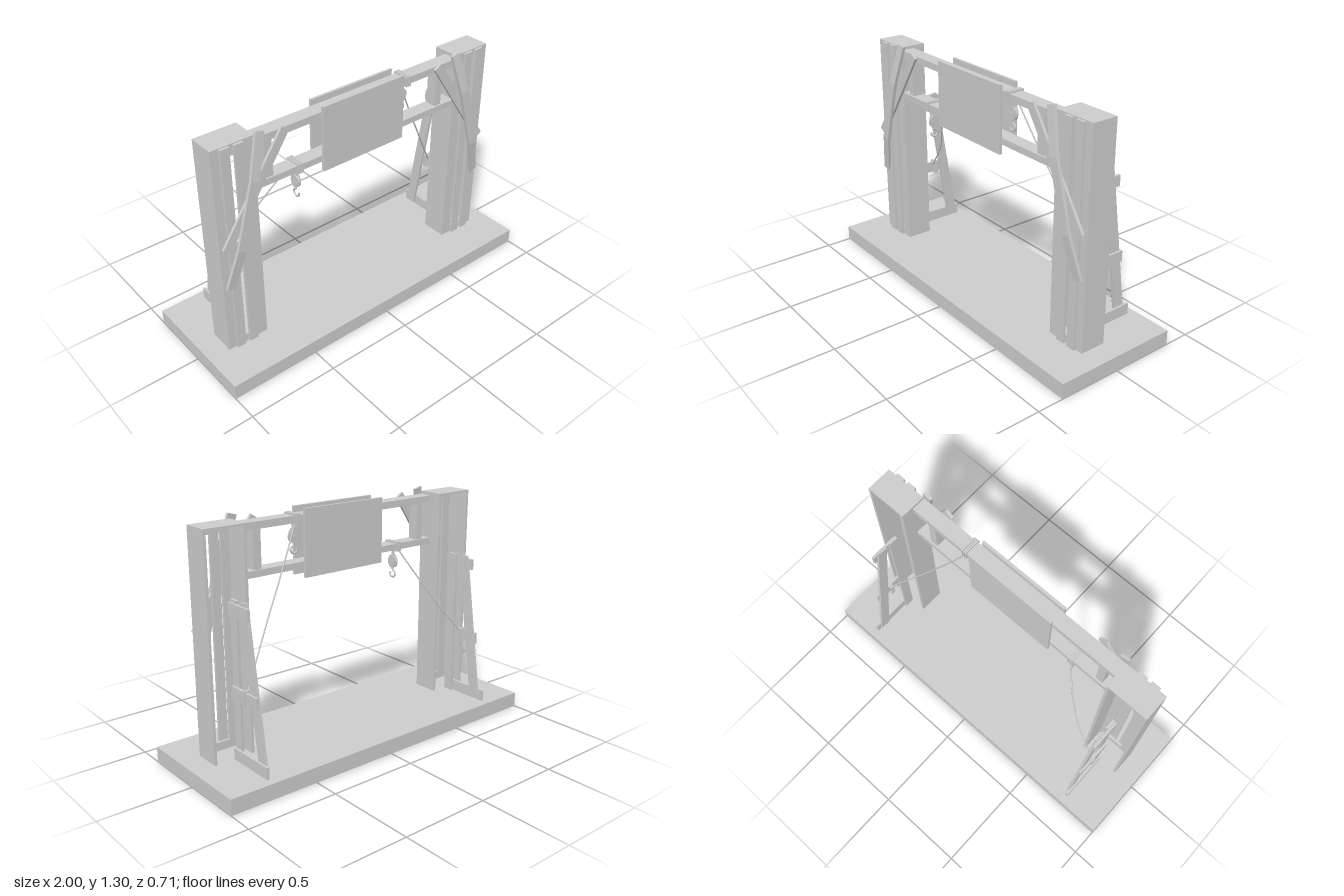
import * as THREE from 'three';

const grey = new THREE.MeshStandardMaterial({ color: 0xcccccc, side: THREE.DoubleSide });

function add(parent, name, geometry) {
  const mesh = new THREE.Mesh(geometry, grey);
  mesh.name = name;
  parent.add(mesh);
  return mesh;
}

// Box given by its limits on each axis
function box(parent, name, x0, x1, y0, y1, z0, z1) {
  const mesh = add(parent, name, new THREE.BoxGeometry(Math.abs(x1 - x0), y1 - y0, z1 - z0));
  mesh.position.set((x0 + x1) / 2, (y0 + y1) / 2, (z0 + z1) / 2);
  return mesh;
}

function polygon(points) {
  return new THREE.Shape(points.map(([x, y]) => new THREE.Vector2(x, y)));
}

function rope(parent, name, points, radius = 0.004) {
  const curve = new THREE.CatmullRomCurve3(points.map((p) => new THREE.Vector3(...p)));
  return add(parent, name, new THREE.TubeGeometry(curve, 24, radius, 6));
}

// Rectangular loops of rope round a bar that runs along z
function wraps(parent, name, w, h, count) {
  const group = new THREE.Group();
  group.name = name;
  for (let i = 0; i < count; i++) {
    const z = (i - (count - 1) / 2) * 0.012;
    for (const s of [-1, 1]) {
      box(group, 'ropeLoop', s * w / 2, s * (w / 2 + 0.008), -h / 2 - 0.008, h / 2 + 0.008, z - 0.004, z + 0.004);
      const y = s * (h / 2 + 0.004);
      box(group, 'ropeLoop', -w / 2, w / 2, y - 0.004, y + 0.004, z - 0.004, z + 0.004);
    }
  }
  parent.add(group);
  return group;
}

// Pulley block with a hook, hanging from its origin
function hookBlock(parent, name) {
  const group = new THREE.Group();
  group.name = name;
  box(group, 'hanger', -0.008, 0.008, -0.04, 0.01, -0.005, 0.005);
  const sheave = add(group, 'sheave', new THREE.CylinderGeometry(0.034, 0.034, 0.008, 20));
  sheave.rotation.x = Math.PI / 2;
  sheave.position.y = -0.065;
  for (const s of [-1, 1]) {
    const cheek = add(group, 'cheekPlate', new THREE.CylinderGeometry(0.028, 0.028, 0.004, 16));
    cheek.rotation.x = Math.PI / 2;
    cheek.scale.z = 1.4;
    cheek.position.set(0, -0.062, s * 0.009);
  }
  const pin = add(group, 'pin', new THREE.CylinderGeometry(0.007, 0.007, 0.028, 8));
  pin.rotation.x = Math.PI / 2;
  pin.position.y = -0.065;
  rope(group, 'hook', [[0, -0.095, 0], [0, -0.112, 0], [0.018, -0.125, 0], [0.017, -0.144, 0],
    [0, -0.154, 0], [-0.018, -0.146, 0], [-0.022, -0.13, 0]], 0.005);
  parent.add(group);
  return group;
}

// Straight board lying against the front, between two points
function aimBoard(mesh, a, b, z) {
  mesh.position.set((a[0] + b[0]) / 2, (a[1] + b[1]) / 2, z);
  mesh.rotation.z = Math.atan2(a[0] - b[0], b[1] - a[1]);
}

function tower(s) {
  const g = new THREE.Group();
  g.name = s > 0 ? 'leftTower' : 'rightTower';
  const bar = (name, x0, x1, ...rest) => box(g, name, s * x0, s * x1, ...rest);

  // Channel-shaped pillar, open at the back, slotted in front
  bar('innerWall', 0.645, 0.66, 0.07, 1.275, -0.02, 0.125);
  bar('outerWall', 0.865, 0.88, 0.07, 1.275, -0.02, 0.125);
  bar('pillarCap', 0.66, 0.865, 1.262, 1.275, -0.02, 0.125);
  const wall = polygon([[s * 0.66, 0.07], [s * 0.865, 0.07], [s * 0.865, 1.262], [s * 0.66, 1.262]]);
  wall.holes.push(polygon([[s * 0.708, 0.13], [s * 0.81, 0.13], [s * 0.81, 1.215], [s * 0.708, 1.215]]));
  add(g, 'slottedFront', new THREE.ExtrudeGeometry(wall, { depth: 0.015, bevelEnabled: false })).position.z = 0.11;
  bar('frontPlank', 0.71, 0.76, 0.085, 1.27, 0.125, 0.14);
  bar('frontPlank', 0.785, 0.835, 0.085, 1.27, 0.125, 0.14);

  // Rear support frame
  bar('rearPost', 0.738, 0.753, 0.085, 0.925, -0.075, -0.02);
  bar('footRail', 0.75, 0.765, 0.085, 0.148, -0.308, -0.02);
  bar('middleRail', 0.75, 0.765, 0.42, 0.483, -0.237, -0.02);
  bar('topRail', 0.75, 0.765, 0.85, 0.91, -0.187, -0.02);
  const strut = add(g, 'rearStrut', new THREE.BoxGeometry(0.015, 0.83, 0.06));
  strut.position.set(s * 0.7455, 0.515, -0.192);
  strut.rotation.x = Math.atan2(0.12, 0.775);
  wraps(g, 'railWraps', 0.03, 0.063, 2).position.set(s * 0.752, 0.452, -0.14);

  // Crossed boards: a straight one under a bowed one
  const a = [s * 0.853, 0.725], b = [s * 0.49, 1.265];
  const straight = add(g, 'straightBoard', new THREE.BoxGeometry(0.05, 0.651, 0.015));
  aimBoard(straight, a, b, 0.1475);
  const profile = polygon([[0.13, -0.42], [0.16, -0.19], [0.16, 0.18], [0.13, 0.42],
    [0.147, 0.42], [0.178, 0.18], [0.178, -0.19], [0.147, -0.42]]);
  const bowedGeometry = new THREE.ExtrudeGeometry(profile, { depth: 0.05, bevelEnabled: false });
  bowedGeometry.translate(0, 0, -0.025).rotateY(-Math.PI / 2);
  const bowed = add(g, 'bowedBoard', bowedGeometry);
  aimBoard(bowed, [s * 0.845, 0.483], [s * 0.623, 1.295], 0);
  return g;
}

export function createModel() {
  const model = new THREE.Group();
  model.name = 'gateway';

  // Base tray, open underneath
  const base = new THREE.Group();
  base.name = 'base';
  model.add(base);
  box(base, 'baseTop', -1, 1, 0.075, 0.085, -0.355, 0.355);
  for (const s of [-1, 1]) {
    box(base, 'baseLongSide', -1, 1, 0, 0.075, s * 0.35 - 0.005, s * 0.35 + 0.005);
    box(base, 'baseEnd', s * 0.99, s, 0, 0.075, -0.345, 0.345);
    model.add(tower(s));
  }

  // Crossbeams and the short uprights between them
  box(model, 'upperBeam', -0.65, 0.65, 1.22, 1.258, 0.05, 0.13);
  box(model, 'lowerBeam', -0.65, 0.65, 0.98, 1.015, 0.05, 0.13);
  box(model, 'beamUpright', -0.59, -0.547, 1.015, 1.22, 0.06, 0.12);
  box(model, 'beamUpright', 0.512, 0.556, 1.015, 1.22, 0.06, 0.12);

  // Sign panels on both faces
  box(model, 'frontPanel', -0.263, 0.258, 0.93, 1.29, 0.13, 0.146);
  box(model, 'backPanel', -0.263, 0.258, 0.93, 1.29, 0.036, 0.05);

  // Hanging hooks with their rope loops
  const big = hookBlock(model, 'upperHook');
  big.position.set(0.292, 1.21, 0.09);
  const small = hookBlock(model, 'lowerHook');
  small.position.set(-0.397, 0.97, 0.09);
  small.rotation.y = Math.PI / 2;
  const upperWraps = wraps(model, 'upperBeamWraps', 0.08, 0.04, 3);
  upperWraps.position.set(0.298, 1.239, 0.09);
  upperWraps.rotation.y = Math.PI / 2;
  const lowerWraps = wraps(model, 'lowerBeamWraps', 0.08, 0.036, 3);
  lowerWraps.position.set(-0.397, 0.9975, 0.09);
  lowerWraps.rotation.y = Math.PI / 2;

  // Ropes sagging back to the support frames
  rope(model, 'leftRope', [[0.295, 1.215, 0.07], [0.42, 0.98, 0.025], [0.53, 0.79, -0.015],
    [0.64, 0.62, -0.07], [0.745, 0.47, -0.13]]);
  rope(model, 'rightRope', [[-0.4, 0.98, 0.05], [-0.5, 0.8, -0.03], [-0.61, 0.63, -0.09],
    [-0.67, 0.56, -0.108], [-0.745, 0.47, -0.125]]);
  return model;
}
